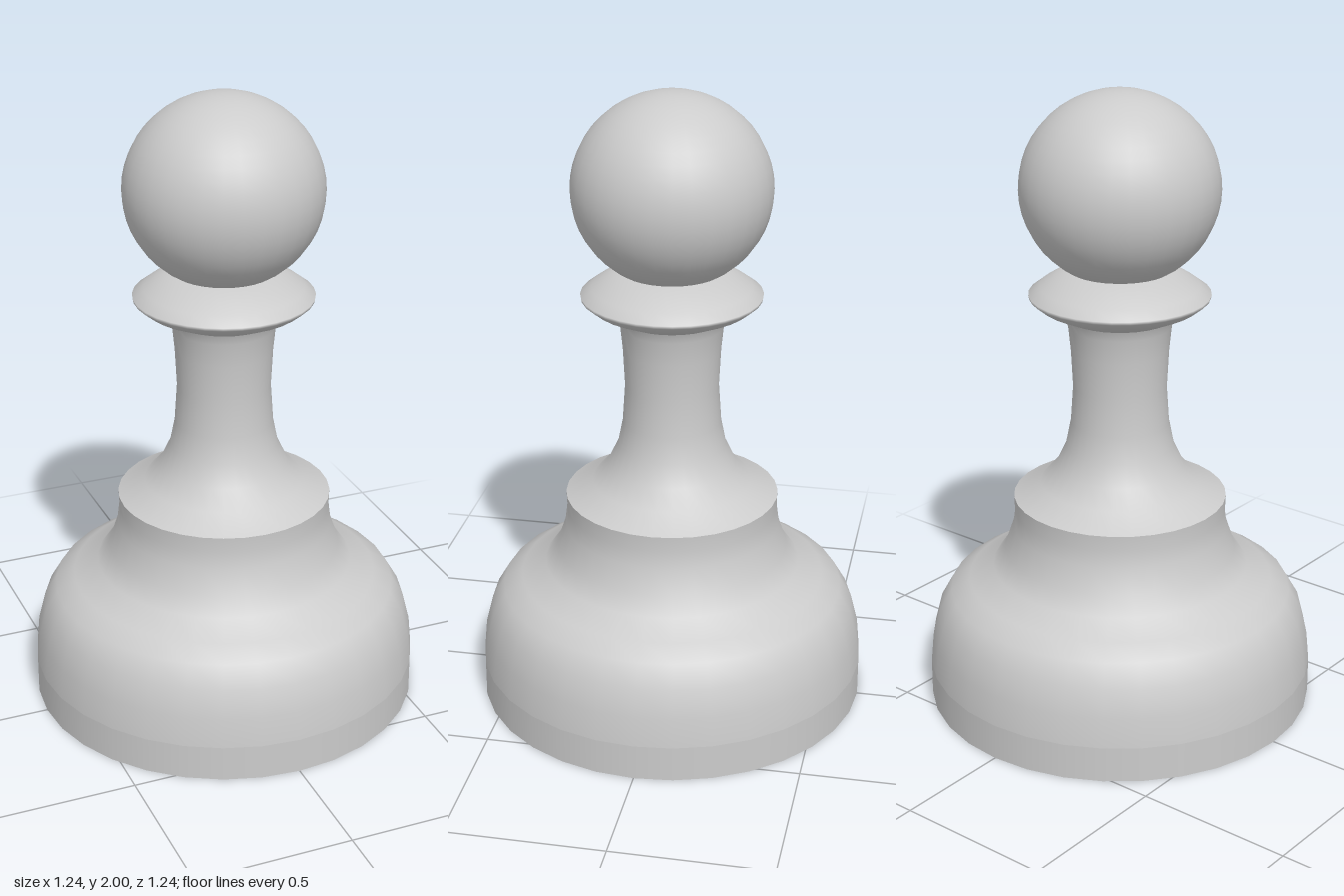
import * as THREE from 'three';

const SEGMENTS = 32;

export function createModel() {
  const model = new THREE.Group();
  model.name = 'pawn';
  const material = new THREE.MeshStandardMaterial({ color: 0xcccccc });

  function add(name, geometry) {
    const mesh = new THREE.Mesh(geometry, material);
    mesh.name = name;
    model.add(mesh);
    return mesh;
  }

  // Turned part from [radius, height] pairs, listed bottom to top;
  // each part is smooth within itself and creased where it meets the next
  function turned(name, profile) {
    const points = profile.map(([r, y]) => new THREE.Vector2(r, y));
    return add(name, new THREE.LatheGeometry(points, SEGMENTS));
  }

  // Base: flat underside and straight rim
  turned('underside', [[0, 0], [0.622, 0]]);
  turned('baseRim', [[0.622, 0], [0.622, 0.115]]);

  // Domed body flowing up into the shoulder
  turned('body', [
    [0.622, 0.115], [0.613, 0.21], [0.59, 0.3], [0.55, 0.368], [0.49, 0.405],
    [0.412, 0.45], [0.372, 0.505], [0.345, 0.585], [0.338, 0.64], [0.34, 0.69],
  ]);

  // Shoulder top sweeping into the slender stem
  turned('stem', [
    [0.34, 0.69], [0.255, 0.735], [0.205, 0.79], [0.172, 0.86], [0.156, 0.94],
    [0.148, 1.06], [0.154, 1.18], [0.162, 1.26], [0.175, 1.293],
  ]);

  // Flared collar with a thin rounded edge
  turned('collar', [
    [0.175, 1.293], [0.25, 1.328], [0.282, 1.354], [0.284, 1.364],
    [0.25, 1.39], [0.165, 1.445], [0, 1.445],
  ]);

  // Ball head, very slightly flattened
  const head = add('head', new THREE.SphereGeometry(0.31, SEGMENTS, 24));
  head.scale.y = 0.3 / 0.31;
  head.position.y = 1.7;

  return model;
}
